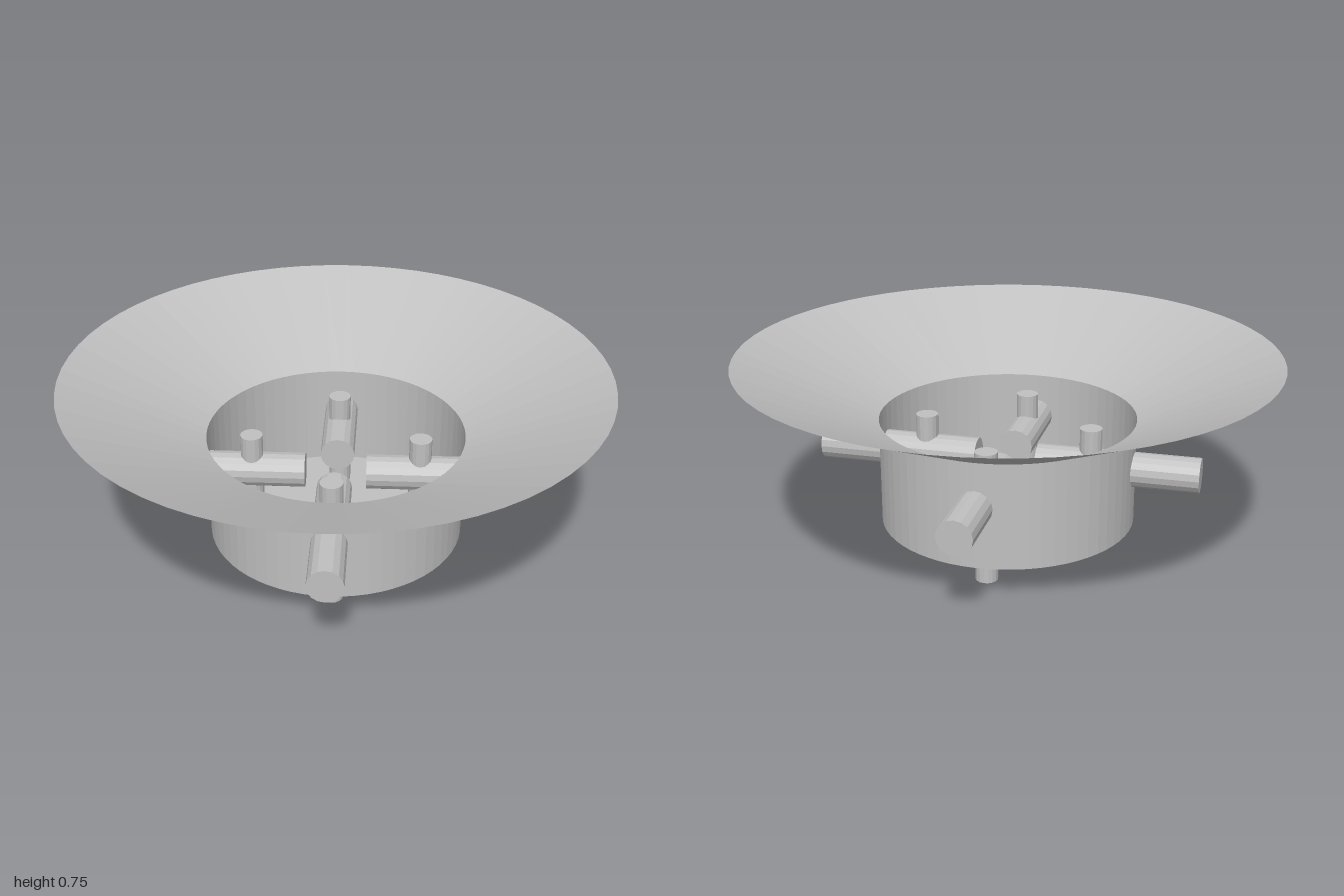
import * as THREE from 'three';

const grey = new THREE.MeshStandardMaterial({ color: 0xc0c0c0, side: THREE.DoubleSide });
grey.name = 'light grey';

function add(parent, name, geometry) {
  const mesh = new THREE.Mesh(geometry, grey);
  mesh.name = name;
  parent.add(mesh);
  return mesh;
}

// Gives each facet its own normal
function faceted(geometry) {
  const flat = geometry.toNonIndexed();
  flat.computeVertexNormals();
  return flat;
}

export function createModel() {
  const model = new THREE.Group();
  model.name = 'flaredDrum';
  const drumR = 0.478, floorY = 0.122, drumTop = 0.519, rimY = 0.755;

  // Open drum wall
  add(model, 'drumWall', faceted(new THREE.CylinderGeometry(drumR, drumR, drumTop - floorY, 64, 1, true)))
    .position.y = (floorY + drumTop) / 2;

  // Thin drum floor
  const floor = add(model, 'drumFloor', new THREE.CircleGeometry(drumR, 64));
  floor.rotation.x = -Math.PI / 2;
  floor.position.y = floorY;

  // Flared cone above the drum
  add(model, 'flaredRim', faceted(new THREE.CylinderGeometry(1, drumR, rimY - drumTop, 64, 1, true)))
    .position.y = (drumTop + rimY) / 2;

  // Four diagonal rods through the wall, each crossed by an upright peg
  const inner = 0.115, outer = 0.723;
  for (let i = 0; i < 4; i++) {
    const arm = new THREE.Group();
    arm.name = 'arm' + (i + 1);
    arm.rotation.y = Math.PI / 4 + i * Math.PI / 2;
    model.add(arm);

    const rod = add(arm, 'radialRod', faceted(new THREE.CylinderGeometry(0.065, 0.065, outer - inner, 16)));
    rod.rotation.z = -Math.PI / 2;
    rod.position.set((inner + outer) / 2, 0.35, 0);

    add(arm, 'uprightPeg', faceted(new THREE.CylinderGeometry(0.042, 0.042, 0.497, 16)))
      .position.set(0.315, 0.2485, 0);
  }
  return model;
}
